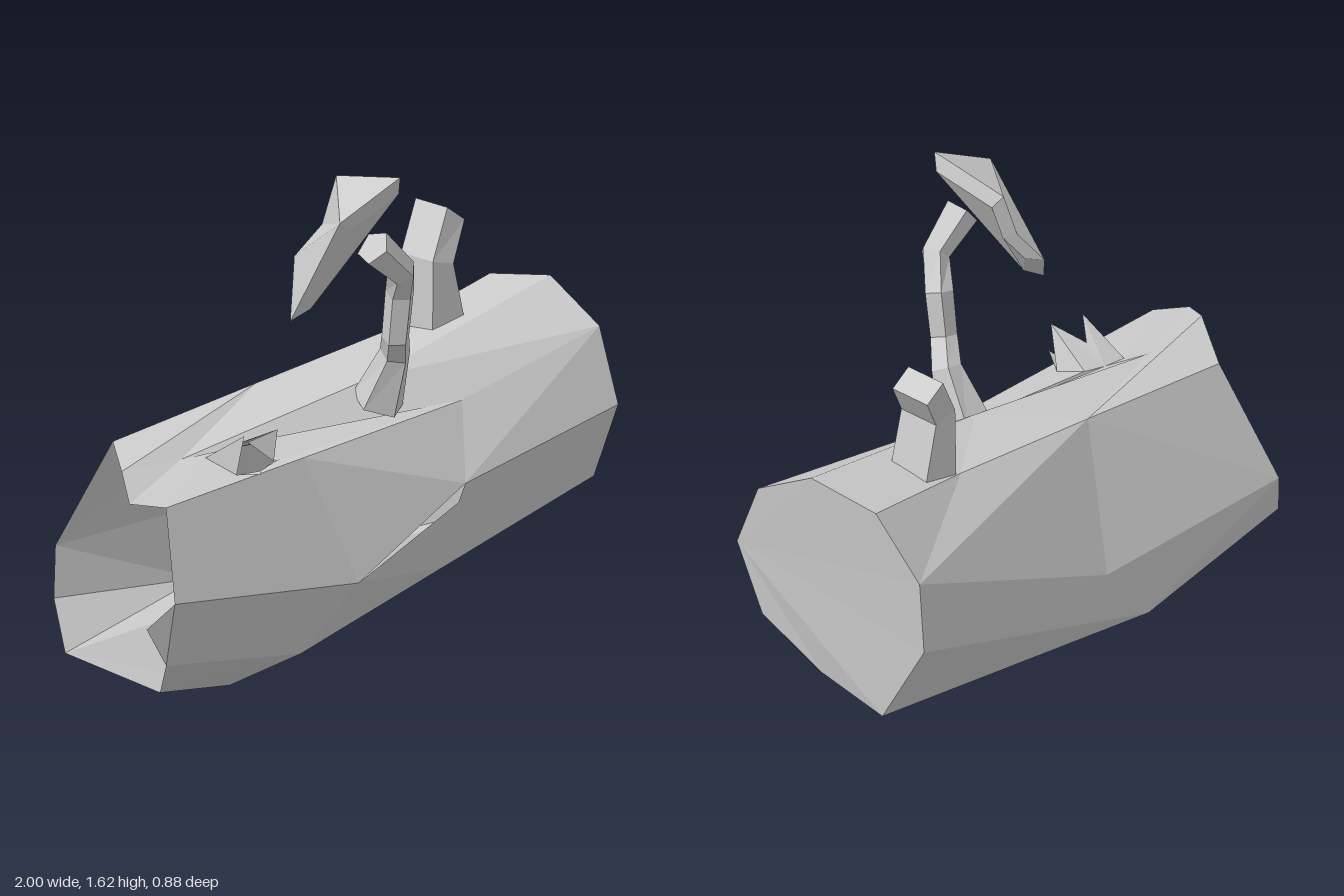
import * as THREE from 'three';

const V = (p) => new THREE.Vector3(...p);
const material = () => new THREE.MeshStandardMaterial({ color: 0xcccccc, flatShading: true, side: THREE.DoubleSide });

// Turns polygons (lists of corners, each fanned from its first corner) into a faceted mesh, skipping empty triangles
function facets(name, polygons) {
  const pos = [];
  for (const p of polygons) {
    for (let i = 1; i < p.length - 1; i++) {
      const tri = [p[0], p[i], p[i + 1]];
      if (new THREE.Triangle(...tri.map(V)).getArea() > 1e-6) pos.push(...tri.flat());
    }
  }
  const geo = new THREE.BufferGeometry();
  geo.setAttribute('position', new THREE.Float32BufferAttribute(pos, 3));
  geo.computeVertexNormals();
  const mesh = new THREE.Mesh(geo, material());
  mesh.name = name;
  return mesh;
}

// Joins cross-section loops with quads and closes both ends
function loft(name, loops) {
  const polys = [[...loops[0]].reverse(), loops[loops.length - 1]];
  for (let i = 0; i < loops.length - 1; i++) {
    const a = loops[i], b = loops[i + 1], n = a.length;
    for (let j = 0; j < n; j++) {
      const k = (j + 1) % n;
      polys.push([a[j], a[k], b[k], b[j]]);
    }
  }
  return facets(name, polys);
}

// Many-sided branch along a path of [x, y, z, radius]
function branch(name, path, sides) {
  const pts = path.map((p) => V(p.slice(0, 3)));
  const loops = path.map((p, i) => {
    const dir = pts[Math.min(i + 1, pts.length - 1)].clone().sub(pts[Math.max(i - 1, 0)]).normalize();
    const u = new THREE.Vector3(0, 0, 1).addScaledVector(dir, -dir.z).normalize();
    const w = dir.clone().cross(u);
    return Array.from({ length: sides }, (_, j) => {
      const a = (j / sides) * Math.PI * 2;
      return pts[i].clone().addScaledVector(u, Math.cos(a) * p[3]).addScaledVector(w, Math.sin(a) * p[3]).toArray();
    });
  });
  return loft(name, loops);
}

// Starts a quad at the corner whose diagonal makes the fold bulge outwards
function bulge(quad) {
  const [a, b, c, d] = quad.map(V);
  const normal = b.clone().sub(a).cross(c.clone().sub(a));
  return normal.dot(d.sub(a)) > 0 ? [...quad.slice(1), quad[0]] : quad;
}

// Rim of the knot hole, lying on the upper front panel
const knotRim = [
  [-.57, .765, .125], [-.48, .775, .12], [-.4, .785, .13],
  [-.39, .745, .24], [-.47, .735, .27], [-.56, .735, .26],
];

function createLog() {
  // Lengthwise ridges, from the closed end (+x) to the open end (-x), going front-top, back, bottom, front;
  // a repeated first point makes the next facet start at the closed end
  const ridges = [
    [[1, .92, .18], [.42, .79, .2], [-.3, .747, .275], [-.92, .71, .34]],
    [[.99, 1.04, -.04], [.15, .88, .07], [-.64, .765, .09], [-.91, .78, .12]],
    [[.96, 1, -.29], [.5, .925, -.21], [-.1, .86, -.175], [-.72, .79, -.14]],
    [[.92, .79, -.44], [.92, .79, -.44], [.03, .44, -.385], [-.79, .43, -.33]],
    [[.9, .54, -.44], [.9, .54, -.44], [-.18, .21, -.36], [-.84, .28, -.28]],
    [[.91, .25, -.27], [.91, .25, -.27], [-.31, .19, -.16], [-.95, .16, -.1]],
    [[.92, .31, -.02], [.92, .31, -.02], [-.44, .005, .09], [-.77, .05, .14]],
    [[.96, .45, .2], [.3, .286, .25], [-.33, .13, .3], [-.91, .2, .33]],
    [[.99, .69, .28], [.31, .57, .34], [-.18, .35, .4], [-.97, .43, .44]],
  ];
  const n = ridges.length, polys = [];
  for (let j = 0; j < n; j++) {
    const a = ridges[j], b = ridges[(j + 1) % n];
    for (let i = 0; i < 3; i++) {
      if (j === 0 && i > 0) continue; // panel with the knot hole
      if (j === 7 && i === 1) {
        // Split bark: the notch leaves a narrow open crack under the upper panel
        const notch = [.29, .51, .33];
        polys.push([a[1], b[1], notch], [a[1], notch, b[2], a[2]]);
      } else polys.push(bulge([a[i], b[i], b[i + 1], a[i + 1]]));
    }
  }
  // Closed end
  polys.push(ridges.map((r) => r[0]).reverse());
  // Jagged lip on the front of the open end
  polys.push([ridges[7][3], ridges[8][3], [-.99, .33, .33]]);

  // Upper front panel pierced by the knot hole
  const outer = [ridges[0][1], ridges[1][1], ridges[1][2], ridges[1][3], [-1, .72, .26], ridges[0][3]];
  const flat = (list) => list.map((p) => new THREE.Vector2(p[0], -p[2]));
  const all = [...outer, ...knotRim];
  for (const t of THREE.ShapeUtils.triangulateShape(flat(outer), [flat(knotRim)])) polys.push(t.map((i) => all[i]));
  return facets('hollowLog', polys);
}

// Broken splinters: a forked flap leaning forward over the knot hole and two short spikes in front
function createSplinters() {
  const [r0, r1, r2, r3, r4, r5] = knotRim;
  const tipA = [-.555, .865, .29], tipB = [-.435, .87, .31], fork = [-.49, .82, .21];
  return facets('knotSplinters', [
    [r0, tipA, r1], [r1, tipA, fork], [r1, fork, tipB], [r1, tipB, r2],
    [r0, r5, tipA], [r2, tipB, r3],
    [r5, r4, [-.52, .745, .33]], [r4, r3, [-.43, .775, .315]],
  ]);
}

// Short square stump; each section is [left x, left y, right x, right y, front z, back z]
function createStump() {
  const sections = [
    [.52, .9, .67, .88, -.055, -.21],
    [.525, 1.16, .61, 1.14, -.06, -.21],
    [.62, 1.31, .69, 1.26, -.1, -.25],
  ];
  return loft('branchStump', sections.map(([lx, ly, rx, ry, f, b]) => [
    [lx, ly, f], [rx, ry, f], [rx, ry, b], [lx, ly, b],
  ]));
}

// Thick leaf: broad outer face and a slightly smaller face towards the stem
function createLeaf() {
  const rim = [
    [-.24, 1.51, .38], [-.01, 1.62, .4], [-.02, 1.57, .11],
    [-.07, 1.42, .1], [-.14, 1.32, .05], [-.27, 1.16, .18],
  ];
  const centre = V([-.125, 1.43, .2]);
  const inner = rim.map((p) => V(p).lerp(centre, .2).add(V([.035, -.02, .02])).toArray());
  return loft('leaf', [inner, rim]);
}

export function createModel() {
  const group = new THREE.Group();
  group.name = 'fallenLog';
  const stem = branch('leafStem', [
    [.13, .82, .135, .085], [.14, .99, .205, .05], [.09, 1.06, .265, .045],
    [.09, 1.21, .285, .047], [.04, 1.3, .35, .048], [-.08, 1.4, .355, .06],
  ], 5);
  group.add(createLog(), createSplinters(), createStump(), stem, createLeaf());
  return group;
}
